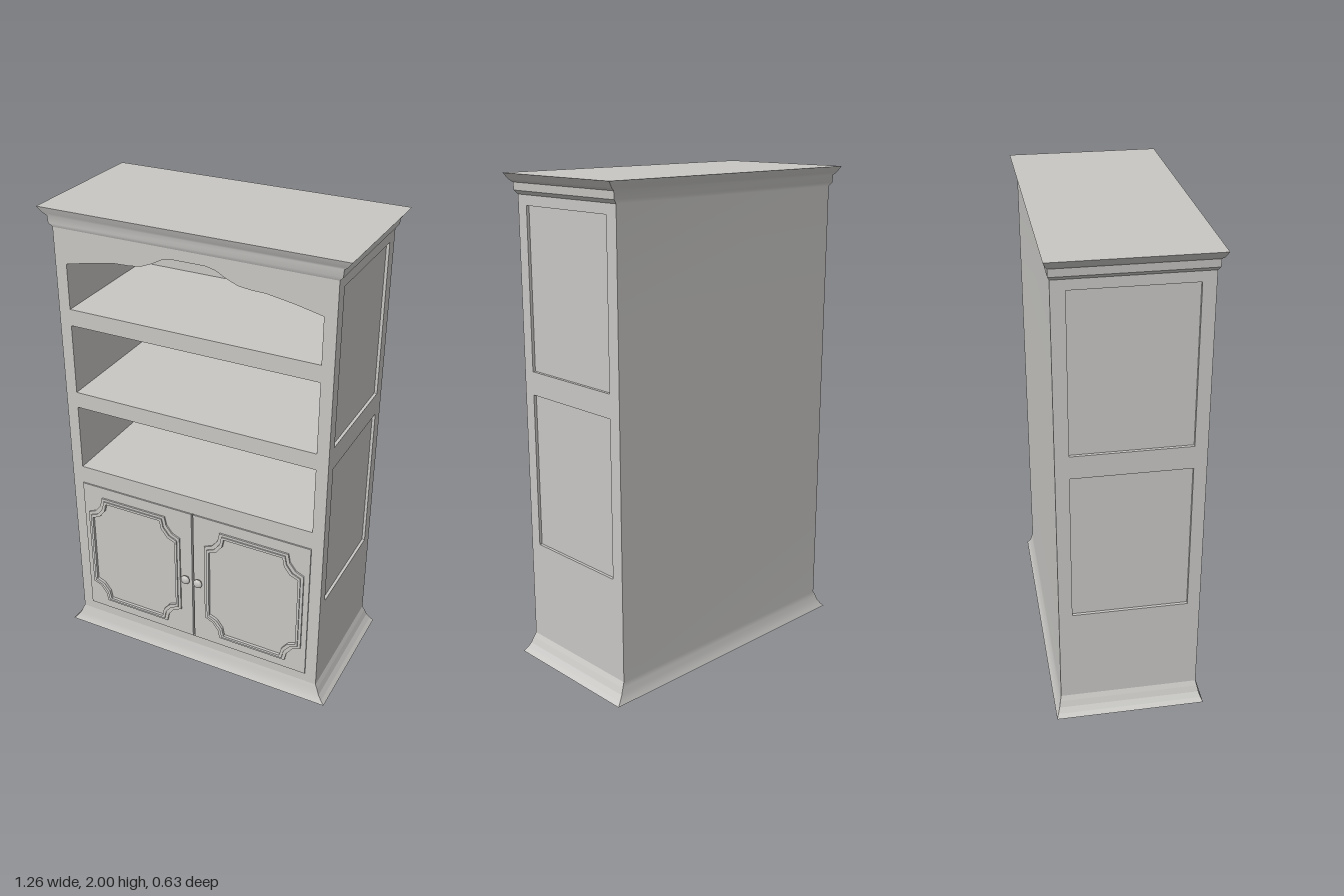
import * as THREE from 'three';

const HX = 0.58, HZ = 0.285, CZ = -0.004; // body half width, half depth, depth centre
const FRONT = CZ + HZ, BACK = CZ - HZ;
const SKIN = 0.012;

// moulding profiles: [x overhang, height]; depth overhang is half as large
const base = [[0.05, 0], [0.035, 0.015], [0.02, 0.035], [0.01, 0.06], [0, 0.08]];
const cornice = [[0, 1.92], [0.014, 1.935], [0.016, 1.965], [0.03, 1.975], [0.05, 2]];
const corners = [[-1, 1], [1, 1], [1, -1], [-1, -1]];

// one mitred side of a moulding swept around the rectangular body
function mouldingSide(profile, side, smooth) {
  const pos = [], idx = [];
  profile.forEach(([o, y], i) => {
    for (const k of [side, (side + 1) % 4]) {
      const [sx, sz] = corners[k];
      pos.push(sx * (HX + o), y, CZ + sz * (HZ + o * 0.48));
    }
    if (i) {
      const a = 2 * i - 2;
      idx.push(a, a + 1, a + 3, a, a + 3, a + 2);
    }
  });
  let g = new THREE.BufferGeometry();
  g.setAttribute('position', new THREE.Float32BufferAttribute(pos, 3));
  g.setIndex(idx);
  if (!smooth) g = g.toNonIndexed();
  g.computeVertexNormals();
  return g;
}

const poly = (pts, Type = THREE.Shape) => new Type(pts.map(([x, y]) => new THREE.Vector2(x, y)));
const rect = (x0, y0, x1, y1) => [[x0, y0], [x1, y0], [x1, y1], [x0, y1]];
function plate(outline, holes, depth) {
  const s = poly(outline);
  s.holes = holes.map((h) => poly(h, THREE.Path));
  return new THREE.ExtrudeGeometry(s, { depth, bevelEnabled: false });
}

// rectangle with scooped corners, counter-clockwise
function scooped(w, h) {
  const q = [[w, h - 0.09], [w - 0.035, h - 0.075], [w - 0.062, h - 0.04], [w - 0.07, h]];
  const r = q.slice().reverse();
  return [
    ...q,
    ...r.map(([x, y]) => [-x, y]),
    ...q.map(([x, y]) => [-x, -y]),
    ...r.map(([x, y]) => [x, -y]),
  ];
}

export function createModel() {
  const model = new THREE.Group();
  const paint = new THREE.MeshStandardMaterial({ color: 0xc8c7c4 });
  paint.name = 'pale grey paint';

  const add = (name, geo, x = 0, y = 0, z = 0, parent = model) => {
    const m = new THREE.Mesh(geo, paint);
    m.name = name;
    m.position.set(x, y, z);
    parent.add(m);
    return m;
  };
  const box = (name, x0, x1, y0, y1, z0, z1, parent) =>
    add(name, new THREE.BoxGeometry(x1 - x0, y1 - y0, z1 - z0),
      (x0 + x1) / 2, (y0 + y1) / 2, (z0 + z1) / 2, parent);

  // flared base and cornice, with the back as one continuous skin
  for (const side of [0, 1, 3]) {
    add('baseMoulding', mouldingSide(base, side, side === 0));
    add('corniceMoulding', mouldingSide(cornice, side, side === 0));
  }
  add('back', mouldingSide([...base, [0, 0.5], [0, 1.5], ...cornice], 2, true));
  const lid = new THREE.PlaneGeometry(2 * (HX + 0.05), 2 * (HZ + 0.024));
  add('top', lid, 0, 2, CZ).rotation.x = -Math.PI / 2;
  add('underside', lid, 0, 0, CZ).rotation.x = Math.PI / 2;

  // face frame: arched upper opening, two plain ones and the door opening
  const half = [[0.53, 1.778], [0.42, 1.802], [0.31, 1.82], [0.25, 1.822], [0.2, 1.828],
    [0.15, 1.848], [0.11, 1.87], [0.07, 1.879]];
  const arch = [[-0.53, 1.59], [0.53, 1.59], ...half,
    ...half.slice().reverse().map(([x, y]) => [-x, y])];
  add('faceFrame', plate(rect(-HX, 0.08, HX, 1.92), [
    arch, rect(-0.53, 1.22, 0.53, 1.52), rect(-0.53, 0.86, 0.53, 1.15),
    rect(-0.53, 0.12, 0.53, 0.78),
  ], 0.02), 0, 0, FRONT - 0.02);

  // shelves and interior
  for (const [y0, y1] of [[0.78, 0.86], [1.15, 1.22], [1.52, 1.59], [1.88, 1.92]]) {
    box('shelf', -0.53, 0.53, y0, y1, BACK + 0.01, FRONT - 0.02);
  }
  box('innerBack', -0.53, 0.53, 0.08, 1.92, BACK + 0.005, BACK + 0.02);

  // side walls with two recessed panels each
  const sideSkin = plate(rect(BACK, 0.08, FRONT, 1.92),
    [rect(-0.235, 0.5, 0.23, 1.14), rect(-0.235, 1.235, 0.23, 1.88)], SKIN);
  sideSkin.rotateY(-Math.PI / 2);
  for (const s of [-1, 1]) {
    add('sideFrame', sideSkin, s > 0 ? HX : -HX + SKIN);
    const c = s * (0.53 + HX - SKIN) / 2, w = (HX - SKIN - 0.53) / 2;
    box('sidePanel', c - w, c + w, 0.08, 1.92, BACK + 0.005, FRONT - 0.02);
  }

  // doors with stepped trim and round knobs
  const face = FRONT + 0.006;
  const outerTrim = plate(scooped(0.224, 0.28), [scooped(0.205, 0.262)], 0.007);
  const innerTrim = plate(scooped(0.212, 0.269), [scooped(0.202, 0.258)], 0.012);
  const knob = new THREE.LatheGeometry(
    [[0.011, 0], [0.01, 0.008], [0.019, 0.011], [0.021, 0.016], [0.017, 0.022], [0.009, 0.025], [0, 0.0255]]
      .map(([r, y]) => new THREE.Vector2(r, y)), 20);
  knob.rotateX(Math.PI / 2);
  for (const s of [-1, 1]) {
    const door = new THREE.Group();
    door.name = s > 0 ? 'leftDoor' : 'rightDoor';
    model.add(door);
    const c = s * 0.267;
    box('doorBoard', c - 0.263, c + 0.263, 0.126, 0.78, FRONT - 0.02, face, door);
    add('outerTrim', outerTrim, s * 0.283, 0.45, face, door);
    add('innerTrim', innerTrim, s * 0.283, 0.45, face, door);
    add('knob', knob, s * 0.03, 0.44, face, door);
  }
  return model;
}
